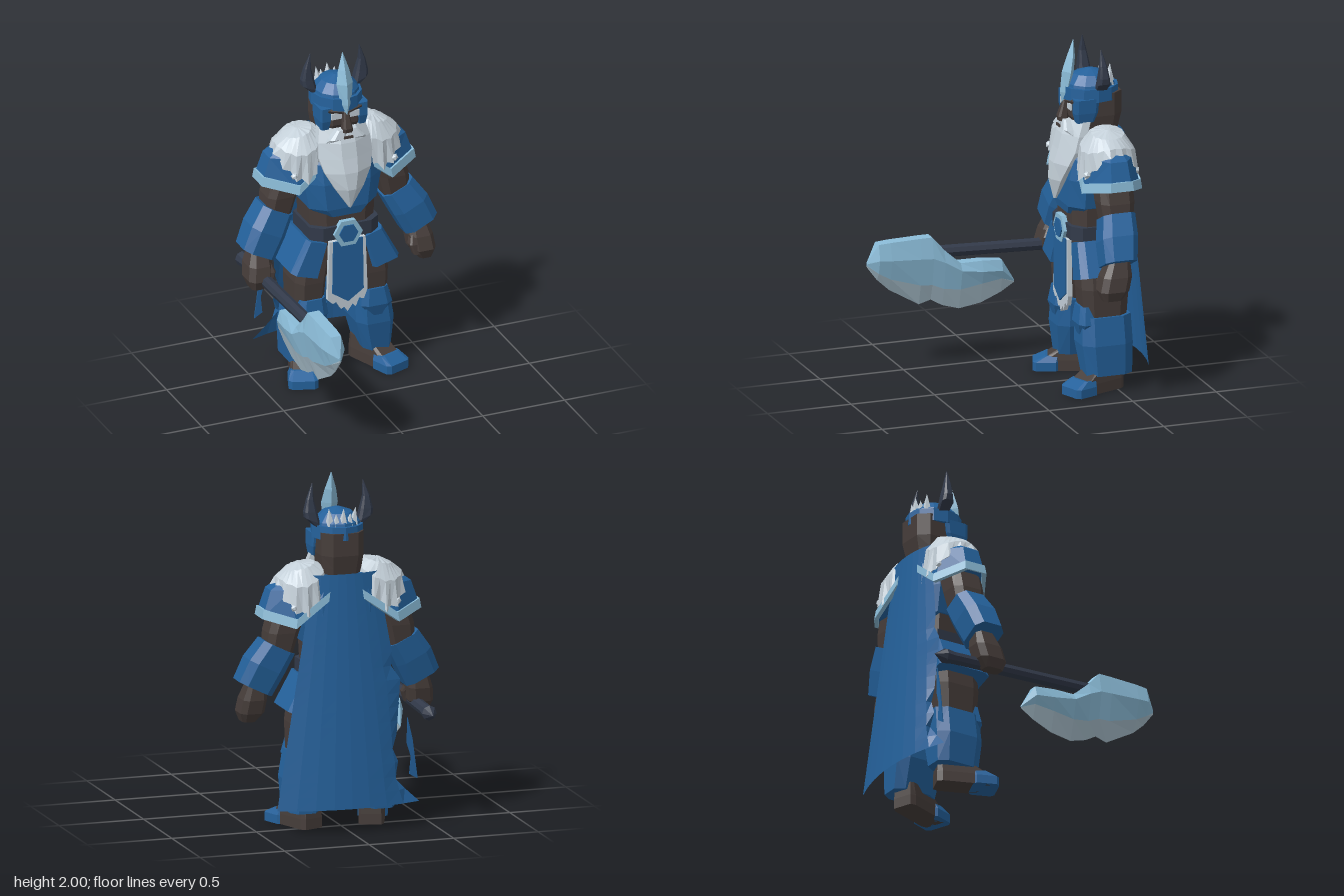
import * as THREE from 'three';

const mat = (name, color, side = THREE.FrontSide) => {
  const m = new THREE.MeshStandardMaterial({ color, flatShading: true, side });
  m.name = name;
  return m;
};

// Triangle soup to flat geometry; drops slivers and turns closed solids outward
function solid(tris, closed = true) {
  const e1 = new THREE.Vector3(), e2 = new THREE.Vector3();
  let vol = 0;
  const keep = tris.filter(([a, b, c]) => {
    e1.subVectors(b, a); e2.subVectors(c, a);
    vol += a.dot(new THREE.Vector3().crossVectors(b, c));
    return e1.cross(e2).length() > 1e-9;
  });
  const pts = keep.flatMap(([a, b, c]) => (closed && vol < 0 ? [a, c, b] : [a, b, c]));
  const g = new THREE.BufferGeometry().setFromPoints(pts);
  g.computeVertexNormals();
  return g;
}

// Skin over rings of [x,y,z] points, capped at both ends
function skin(rings) {
  const R = rings.map(r => r.map(p => new THREE.Vector3(...p)));
  const n = R[0].length, tris = [];
  for (let i = 0; i + 1 < R.length; i++) {
    for (let j = 0; j < n; j++) {
      const k = (j + 1) % n;
      tris.push([R[i][j], R[i][k], R[i + 1][k]], [R[i][j], R[i + 1][k], R[i + 1][j]]);
    }
  }
  [R[0], R[R.length - 1]].forEach((r, e) => {
    const mid = r.reduce((s, p) => s.add(p), new THREE.Vector3()).divideScalar(n);
    for (let j = 0; j < n; j++) {
      const k = (j + 1) % n;
      tris.push(e ? [r[j], r[k], mid] : [r[k], r[j], mid]);
    }
  });
  return solid(tris);
}

// Stack of chamfered rings: [x, y, z, halfWidth, halfDepth, tilt]
function stack(stations, c = 0.6) {
  const o = [[1, c], [c, 1], [-c, 1], [-1, c], [-1, -c], [-c, -1], [c, -1], [1, -c]];
  return skin(stations.map(([x, y, z, w, d, t = 0]) =>
    o.map(([a, b]) => [x + a * w, y + t * a * w, z + b * d])));
}

// Straight rod from a to b
function rod(a, b, r, n = 6, r2 = r) {
  const A = new THREE.Vector3(...a), B = new THREE.Vector3(...b), d = B.clone().sub(A);
  const g = new THREE.CylinderGeometry(r2, r, d.length(), n);
  g.applyQuaternion(new THREE.Quaternion().setFromUnitVectors(new THREE.Vector3(0, 1, 0), d.clone().normalize()));
  return g.translate(...A.add(B).multiplyScalar(0.5).toArray());
}

const box = (x, y, z, w, h, d) => new THREE.BoxGeometry(w, h, d).translate(x, y, z);

function plate(points, depth, z) {
  const s = new THREE.Shape(points.map(p => new THREE.Vector2(...p)));
  return new THREE.ExtrudeGeometry(s, { depth, bevelEnabled: false }).translate(0, 0, z);
}

function mirrored(geo) {
  const g = geo.index ? geo.toNonIndexed() : geo.clone(), p = g.attributes.position;
  const v = [];
  for (let i = 0; i < p.count; i++) v.push(new THREE.Vector3(-p.getX(i), p.getY(i), p.getZ(i)));
  const out = [];
  for (let i = 0; i < v.length; i += 3) out.push([v[i], v[i + 2], v[i + 1]]);
  return solid(out, false);
}

export function createModel() {
  const root = new THREE.Group();
  const blue = mat('armour blue', 0x24619b), ice = mat('ice blue', 0x8bbcd8);
  const skinM = mat('dark hide', 0x463d3a), pale = mat('pale fur', 0xc4d0d9);
  const slate = mat('slate', 0x323a4a), frost = mat('frost edge', 0xa9c0cd);
  const cloth = mat('cape blue', 0x24619b, THREE.DoubleSide);
  const add = (name, geo, m) => {
    const mesh = new THREE.Mesh(geo, m);
    mesh.name = name;
    root.add(mesh);
  };
  const pair = (name, geo, m) => {
    add(name + 'Left', geo, m);
    add(name + 'Right', mirrored(geo), m);
  };

  // Body
  add('pelvis', stack([[0, 0.6, -0.43, 0.1, 0.1], [0, 0.75, -0.43, 0.2, 0.14], [0, 0.88, -0.43, 0.19, 0.15], [0, 1.06, -0.43, 0.2, 0.15]]), skinM);
  add('breastplate', stack([[0, 1.01, -0.43, 0.14, 0.165], [0, 1.06, -0.43, 0.205, 0.175], [0, 1.22, -0.43, 0.235, 0.175], [0, 1.34, -0.44, 0.24, 0.16], [0, 1.46, -0.46, 0.17, 0.12]]), blue);
  add('belt', stack([[0, 0.87, -0.425, 0.21, 0.165], [0, 0.95, -0.425, 0.21, 0.165]], 0.7), slate);
  const hex = (r, d, z) => new THREE.CylinderGeometry(r, r, d, 6).rotateY(Math.PI / 6).rotateX(Math.PI / 2).translate(0, 0.905, z);
  add('buckle', hex(0.088, 0.03, -0.258), ice);
  add('buckleInset', hex(0.058, 0.008, -0.24), blue);

  // Tabard with a ragged frosted hem
  add('tabardTrim', plate([[-0.11, 0.86], [-0.122, 0.5], [-0.09, 0.47], [-0.07, 0.48], [-0.04, 0.43], [-0.02, 0.44], [0, 0.41],
    [0.03, 0.45], [0.05, 0.43], [0.07, 0.48], [0.1, 0.47], [0.122, 0.53], [0.11, 0.86]], 0.025, -0.28), pale);
  add('tabard', plate([[-0.09, 0.86], [-0.095, 0.54], [0, 0.475], [0.095, 0.54], [0.09, 0.86]], 0.008, -0.255), blue);

  // Legs and hips
  pair('hipPlate', stack([[0.245, 0.665, -0.425, 0.085, 0.165, 0.3], [0.165, 0.86, -0.425, 0.065, 0.15, 0.3]], 0.75), blue);
  pair('thigh', stack([[0.195, 0.4, -0.43, 0.085, 0.125], [0.19, 0.6, -0.43, 0.095, 0.14], [0.16, 0.8, -0.43, 0.1, 0.14]]), skinM);
  pair('shinGuard', stack([[0.225, 0.1, -0.445, 0.085, 0.135], [0.205, 0.28, -0.435, 0.115, 0.15], [0.19, 0.44, -0.435, 0.105, 0.145]]), blue);
  pair('kneePlate', stack([[0.2, 0.32, -0.33, 0.03, 0.04], [0.195, 0.4, -0.335, 0.095, 0.065], [0.19, 0.5, -0.34, 0.075, 0.055]]), blue);
  const foot = g => g.rotateY(0.36).translate(0.227, 0, -0.375);
  pair('boot', foot(stack([[0, 0, -0.01, 0.072, 0.155], [0, 0.06, -0.01, 0.072, 0.155], [0, 0.14, -0.07, 0.065, 0.09]], 0.8)), skinM);
  pair('toeCap', foot(stack([[0, 0, 0.115, 0.084, 0.075], [0, 0.05, 0.115, 0.084, 0.075], [0, 0.085, 0.08, 0.068, 0.04]], 0.75)), blue);

  // Arms
  pair('upperArm', stack([[0.37, 0.98, -0.45, 0.075, 0.08], [0.34, 1.14, -0.45, 0.09, 0.1], [0.28, 1.32, -0.45, 0.1, 0.1]]), skinM);
  pair('bracer', stack([[0.495, 0.815, -0.415, 0.095, 0.095, 0.5], [0.435, 0.94, -0.43, 0.1, 0.105, 0.5], [0.365, 1.055, -0.45, 0.09, 0.095, 0.5]]), blue);
  pair('hand', stack([[0.51, 0.615, -0.37, 0.04, 0.055], [0.5, 0.67, -0.38, 0.07, 0.085], [0.49, 0.75, -0.4, 0.07, 0.085], [0.48, 0.84, -0.42, 0.05, 0.06]]), skinM);
  pair('thumb', stack([[0.45, 0.65, -0.33, 0.02, 0.025], [0.435, 0.71, -0.34, 0.025, 0.03], [0.45, 0.77, -0.37, 0.02, 0.03]]), skinM);

  // Shoulder pads: hexagonal domes with a bright rim
  const rim = [[0.465, 1.235, -0.39], [0.465, 1.235, -0.51], [0.3, 1.19, -0.62], [0.1, 1.33, -0.6], [0.1, 1.33, -0.31], [0.28, 1.19, -0.285]];
  const brim = rim.map(([x, y, z]) => [x - 0.008, y + 0.045, z + (z < -0.45 ? 0.006 : -0.006)]);
  pair('shoulderPad', skin([rim,
    [[0.415, 1.385, -0.4], [0.415, 1.385, -0.5], [0.32, 1.39, -0.57], [0.14, 1.45, -0.56], [0.14, 1.45, -0.34], [0.3, 1.38, -0.33]],
    [[0.3, 1.46, -0.43], [0.3, 1.46, -0.47], [0.26, 1.47, -0.49], [0.2, 1.49, -0.49], [0.2, 1.49, -0.41], [0.26, 1.47, -0.41]]]), blue);
  for (const [i, j] of [[4, 5], [5, 0], [0, 1], [1, 2], [2, 3]]) {
    const edge = ([x, y, z], dy, out) => [x + out * 0.5, y + dy, z + (z < -0.45 ? -out : out)];
    const ends = k => [edge(rim[k], -0.008, 0.01), edge(brim[k], 0, 0.01), edge(brim[k], 0, -0.012), edge(rim[k], -0.008, -0.012)];
    pair('padRim' + i, skin([ends(i), ends(j)]), ice);
  }
  for (const z of [-0.3, -0.592]) pair('padStud', new THREE.IcosahedronGeometry(0.022, 0).translate(0.305, 1.295, z), pale);

  // Shaggy fur mantles with a zigzag edge
  const furRing = (s, yAt, jag) => Array.from({ length: 28 }, (_, i) => {
    const a = i / 28 * Math.PI * 2, k = s * (1 + (i % 2 ? jag : -jag) * (0.7 + 0.5 * Math.sin(i * 2.3)));
    const sn = Math.sin(a);
    return [0.23 + 0.15 * k * Math.cos(a), yAt(Math.cos(a), Math.abs(sn)) - (i % 2 ? jag * 0.3 * Math.abs(sn) : 0), -0.45 + 0.172 * Math.min(k, 1.04) * sn];
  });
  pair('furMantle', skin([
    furRing(1.02, (c, s) => 1.44 - 0.03 * c - 0.17 * s * s, 0.1),
    furRing(0.9, (c, s) => 1.48 - 0.03 * c - 0.06 * s * s, 0.03),
    furRing(0.55, c => 1.51 - 0.02 * c, 0.02), furRing(0.1, () => 1.525, 0)]), pale);

  // Head and face
  add('head', stack([[0, 1.38, -0.45, 0.1, 0.1], [0, 1.5, -0.45, 0.115, 0.125], [0, 1.57, -0.44, 0.125, 0.15], [0, 1.7, -0.44, 0.125, 0.15]]), skinM);
  add('nose', stack([[0, 1.535, -0.27, 0.03, 0.03], [0, 1.56, -0.265, 0.028, 0.03], [0, 1.66, -0.285, 0.014, 0.015]]), skinM);
  pair('eye', box(0.054, 1.628, -0.287, 0.062, 0.036, 0.008), pale);
  pair('brow', rod([0.015, 1.652, -0.28], [0.1, 1.664, -0.3], 0.012, 5), skinM);
  pair('cheekGuard', stack([[0.112, 1.545, -0.355, 0.025, 0.05], [0.112, 1.6, -0.36, 0.033, 0.068], [0.112, 1.68, -0.365, 0.034, 0.072]], 0.75), blue);
  add('beard', stack([[0, 1.08, -0.222, 0.008, 0.01], [0, 1.2, -0.238, 0.085, 0.05], [0, 1.3, -0.268, 0.14, 0.07],
    [0, 1.38, -0.305, 0.162, 0.083], [0, 1.47, -0.33, 0.158, 0.085], [0, 1.55, -0.36, 0.138, 0.08]], 0.28), pale);
  pair('moustache', stack([[0.11, 1.47, -0.3, 0.015, 0.02], [0.06, 1.5, -0.275, 0.045, 0.035], [0.03, 1.55, -0.28, 0.03, 0.025]]), pale);
  add('mouth', box(0, 1.508, -0.241, 0.055, 0.014, 0.009), skinM);

  // Helmet
  const oval = (y, w, d, n = 12) => Array.from({ length: n }, (_, i) => {
    const a = i / n * Math.PI * 2;
    return [w * Math.sin(a), y, -0.43 + d * Math.cos(a)];
  });
  add('helmetDome', skin([oval(1.7, 0.14, 0.15), oval(1.75, 0.13, 0.14), oval(1.8, 0.085, 0.095), oval(1.825, 0.015, 0.015)]), blue);
  add('helmetBand', skin([oval(1.66, 0.15, 0.165), oval(1.735, 0.147, 0.162)]), blue);
  add('helmetCrest', stack([[0, 1.635, -0.272, 0.008, 0.01], [0, 1.7, -0.28, 0.032, 0.03], [0, 1.82, -0.298, 0.05, 0.036], [0, 1.9, -0.315, 0.034, 0.026], [0, 2, -0.33, 0.002, 0.002]], 0), ice);
  pair('horn', stack([[0.125, 1.72, -0.45, 0.02, 0.03, 0.5], [0.155, 1.76, -0.45, 0.042, 0.036, 0.4], [0.165, 1.81, -0.45, 0.036, 0.03], [0.166, 1.88, -0.447, 0.019, 0.02], [0.15, 1.97, -0.44, 0.002, 0.002]]), slate);
  for (let i = -2; i <= 2; i++) {
    const a = i * 0.36, x = 0.1 * Math.sin(a), z = -0.43 - 0.1 * Math.cos(a);
    add('iceSpike', rod([x, 1.72, z - 0.01], [x * 1.2, 1.835 - 0.03 * Math.abs(i % 2), z - 0.02], 0.036, 5, 0.001), pale);
  }

  // Cape, torn along its right edge
  const tear = [0, 0, 0, 0, 0, 0, 0, 0.02, -0.02, 0, 0.02, 0.04, 0.06, 0.1, 0.08, 0.13, 0.07, 0];
  const rows = tear.length - 1, cols = 8;
  const capeAt = (i, j) => {
    const v = i / rows, u = j / cols * 2 - 1;
    const x = u * (0.19 + 0.23 * v) + tear[i] * Math.max(0, -u) ** 6;
    return new THREE.Vector3(x, 1.47 - 1.33 * v, -0.6 - 0.11 * v + (0.03 + 0.05 * v) * u * u);
  };
  const capeTris = [];
  for (let i = 0; i < rows; i++) {
    for (let j = 0; j < cols; j++) {
      const [a, b, c, d] = [capeAt(i, j), capeAt(i + 1, j), capeAt(i + 1, j + 1), capeAt(i, j + 1)];
      capeTris.push([a, c, b], [a, d, c]);
    }
  }
  add('cape', solid(capeTris, false), cloth);
  add('capeShred', plate([[-0.35, 0.63], [-0.38, 0.5], [-0.41, 0.27], [-0.36, 0.3], [-0.37, 0.4], [-0.345, 0.48]], 0.006, -0.635), blue);

  // Axe: each blade section is [z, top, ridge, rim, edge, thickness]
  const X = -0.47;
  const blade = [[0.73, 0.665, 0.655, 0.645, 0.635, 0.08], [0.67, 0.77, 0.68, 0.6, 0.555, 0.9], [0.6, 0.775, 0.675, 0.56, 0.49, 1],
    [0.42, 0.78, 0.665, 0.505, 0.385, 1], [0.35, 0.78, 0.66, 0.5, 0.405, 1], [0.28, 0.7, 0.63, 0.47, 0.365, 1], [0.18, 0.61, 0.57, 0.455, 0.335, 1],
    [0.05, 0.61, 0.55, 0.475, 0.355, 0.9], [-0.07, 0.6, 0.54, 0.49, 0.405, 0.7], [-0.15, 0.47, 0.465, 0.46, 0.455, 0.06]];
  add('axeBlade', skin(blade.map(([z, t, m, r, , k]) => [[X - 0.035 * k, t, z], [X + 0.035 * k, t, z], [X + 0.06 * k, m, z],
    [X + 0.035 * k, r, z], [X - 0.035 * k, r, z], [X - 0.06 * k, m, z]])), ice);
  add('axeEdge', skin(blade.map(([z, , , r, e, k]) => [[X - 0.035 * k, r, z], [X + 0.035 * k, r, z], [X + 0.002, e, z], [X - 0.002, e, z]])), frost);
  add('axeShaft', rod([X, 0.65, -0.62], [X, 0.685, 0.36], 0.036, 8), slate);
  add('axeCollar', rod([X, 0.648, -0.66], [X, 0.65, -0.6], 0.044, 8, 0.036), slate);
  add('axePommel', rod([X, 0.648, -0.66], [X, 0.645, -0.725], 0.044, 8, 0.002), slate);
  return root;
}
